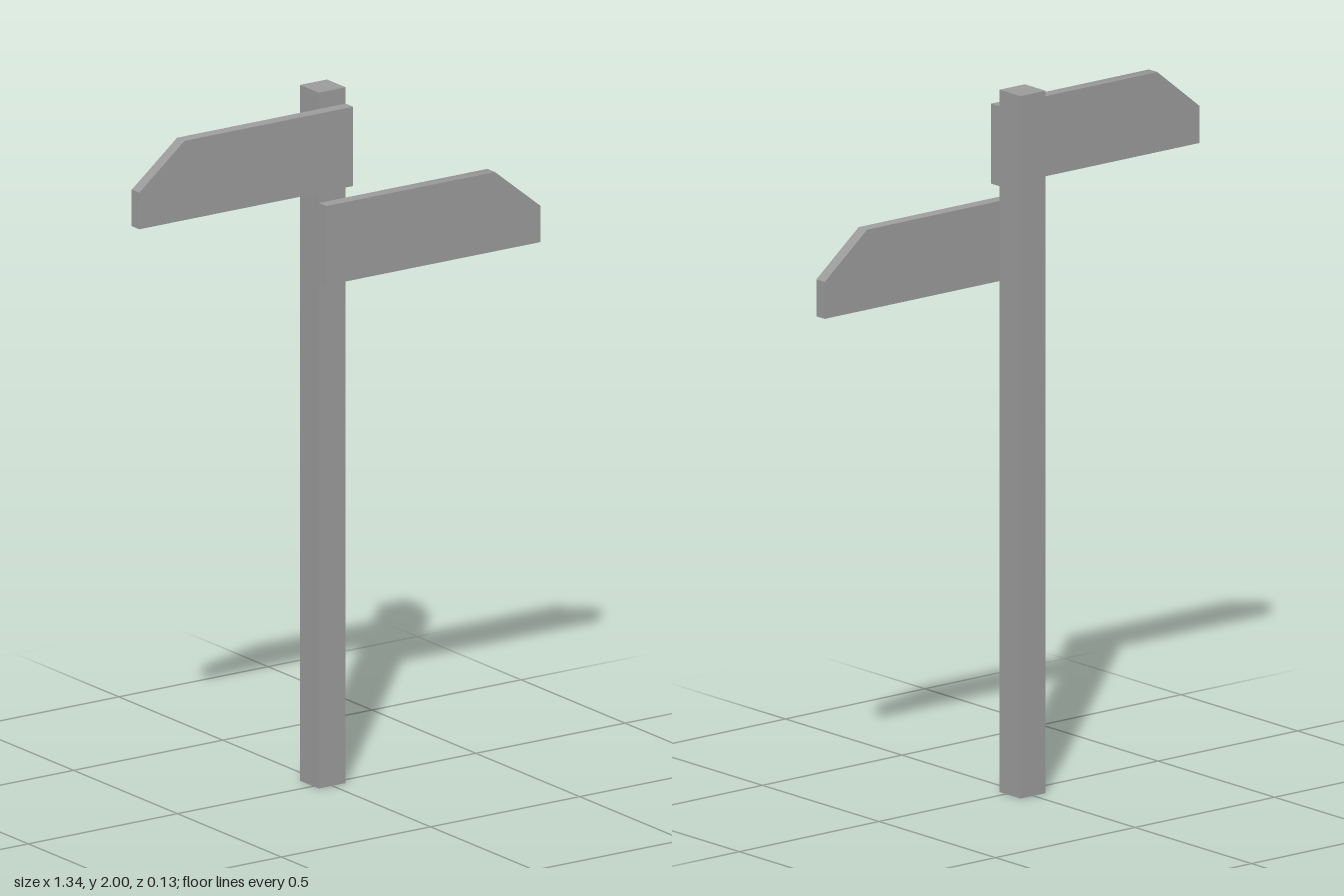
import * as THREE from 'three';
import { toCreasedNormals } from 'three/addons/utils/BufferGeometryUtils.js';

export function createModel() {
  const model = new THREE.Group();
  const material = new THREE.MeshStandardMaterial({ color: 0x9b9b9b, side: THREE.DoubleSide });
  const half = 0.045; // half the post width
  const postFront = 0.027;

  // Square post, open at the foot
  const postGeometry = new THREE.BoxGeometry(half * 2, 2, half * 2);
  const bottom = postGeometry.groups[3];
  const index = Array.from(postGeometry.index.array);
  index.splice(bottom.start, bottom.count);
  postGeometry.setIndex(index);
  postGeometry.clearGroups();
  const post = new THREE.Mesh(postGeometry, material);
  post.name = 'post';
  post.position.set(0, 1, postFront - half);
  model.add(post);

  // Direction board with a clipped upper outer corner; side is +1 or -1
  function addBoard(name, side, y) {
    const outline = [[-half, 0], [0.672, 0], [0.672, 0.105], [0.52, 0.228], [-half, 0.228]];
    const shape = new THREE.Shape(outline.map(([px, py]) => new THREE.Vector2(px * side, py)));
    const geometry = new THREE.ExtrudeGeometry(shape, { depth: 0.036, bevelEnabled: false });
    // Shade softly from the top edge into the slope, keep the other edges sharp
    const board = new THREE.Mesh(toCreasedNormals(geometry, Math.PI / 4), material);
    board.name = name;
    board.position.set(0, y, postFront);
    model.add(board);
  }
  addBoard('upperBoard', -1, 1.725);
  addBoard('lowerBoard', 1, 1.455);

  return model;
}
